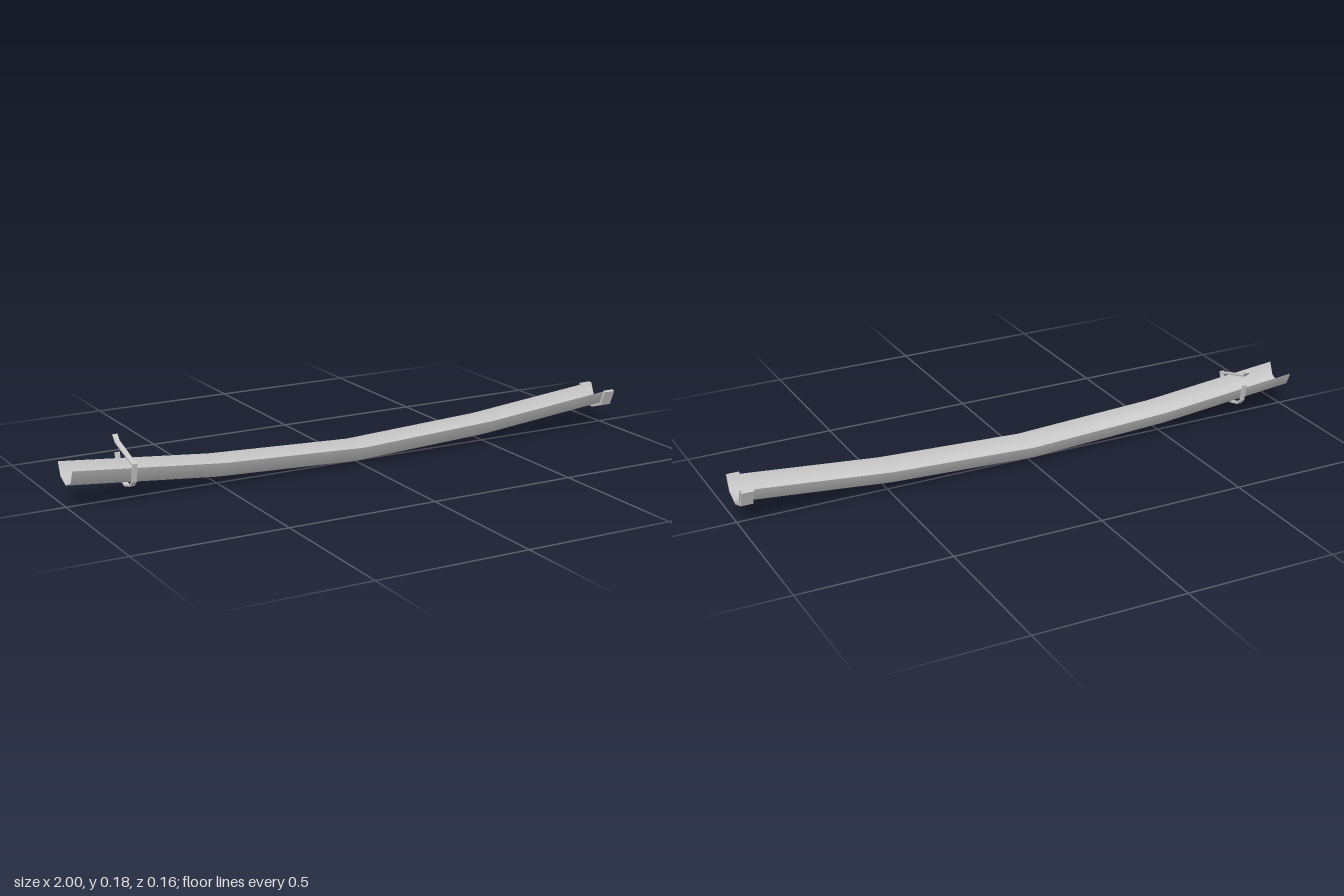
import * as THREE from 'three';

const CZ = 0.006; // centre line of the channel

// Strip of even thickness following [z, y] points, extruded along x
function band(name, points, thickness, width, x, material) {
  const pts = points.map(([z, y]) => new THREE.Vector2(z, y));
  const normal = (a, b) => {
    const d = b.clone().sub(a).normalize();
    return new THREE.Vector2(-d.y, d.x);
  };
  const offsets = pts.map((p, i) => {
    const before = i > 0 ? normal(pts[i - 1], p) : normal(p, pts[1]);
    const after = i < pts.length - 1 ? normal(p, pts[i + 1]) : before;
    const m = before.clone().add(after).normalize();
    return m.multiplyScalar(thickness / 2 / m.dot(before));
  });
  const outer = pts.map((p, i) => p.clone().add(offsets[i]));
  const inner = pts.map((p, i) => p.clone().sub(offsets[i])).reverse();
  const geo = new THREE.ExtrudeGeometry(new THREE.Shape([...outer, ...inner]), {
    depth: width, bevelEnabled: false,
  });
  geo.translate(0, 0, -width / 2);
  geo.rotateY(-Math.PI / 2);
  const mesh = new THREE.Mesh(geo, material);
  mesh.position.x = x;
  mesh.name = name;
  return mesh;
}

// Mirrors a half profile of [offset, y], listed from the top to the bottom centre
function cradle(half) {
  const back = half.slice(0, -1).reverse().map(([o, y]) => [CZ - o, y]);
  return [...half.map(([o, y]) => [CZ + o, y]), ...back];
}

// Half-round channel that sags towards the middle
function gutterGeometry() {
  const stations = [[-1, 0.071], [-0.5, 0.023], [0, 0.001], [0.5, 0.023], [1, 0.071]];
  const sides = 4, r = 0.061;
  const pos = [], index = [];
  for (const [x, y] of stations) {
    for (let j = 0; j <= sides; j++) {
      const a = (j / sides) * Math.PI;
      pos.push(x, y + r - r * Math.sin(a), CZ + r * Math.cos(a));
    }
  }
  const n = sides + 1;
  for (let i = 0; i < stations.length - 1; i++) {
    for (let j = 0; j < sides; j++) {
      const a = i * n + j, b = a + n;
      index.push(a, a + 1, b, a + 1, b + 1, b);
    }
  }
  const geo = new THREE.BufferGeometry();
  geo.setAttribute('position', new THREE.Float32BufferAttribute(pos, 3));
  geo.setIndex(index);
  geo.computeVertexNormals();
  return geo;
}

export function createModel() {
  const group = new THREE.Group();
  group.name = 'rainGutter';
  const metal = new THREE.MeshStandardMaterial({ color: 0xc8c8c8, side: THREE.DoubleSide });
  metal.name = 'light grey metal';

  const gutter = new THREE.Mesh(gutterGeometry(), metal);
  gutter.name = 'gutterChannel';
  group.add(gutter);

  // Collar under the raised end
  const collar = cradle([[0.071, 0.131], [0.05, 0.081], [0, 0.065]]);
  group.add(band('endCollar', collar, 0.01, 0.04, 0.978, metal));

  // Hanger: cradle below the channel and an arm crossing above it
  const hanger = cradle([[0.071, 0.13], [0.059, 0.07], [0.042, 0.053], [0, 0.042]]);
  group.add(band('hangerCradle', hanger, 0.006, 0.016, -0.804, metal));
  const arm = [[0.078, 0.124], [0.067, 0.127], [-0.06, 0.164], [-0.079, 0.183]];
  group.add(band('hangerArm', arm, 0.006, 0.016, -0.804, metal));

  return group;
}
